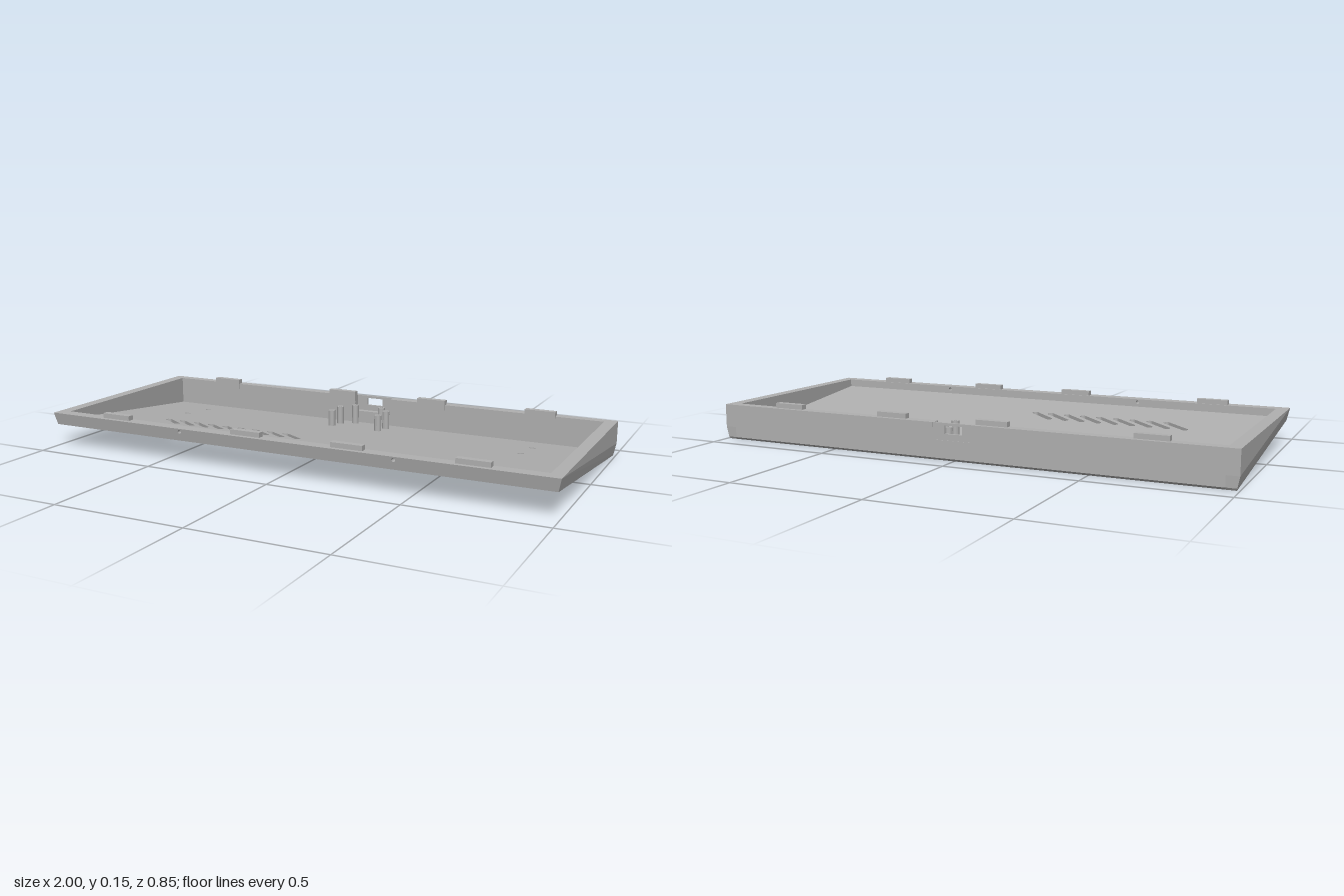
import * as THREE from 'three';
import { ConvexGeometry } from 'three/addons/geometries/ConvexGeometry.js';

const TOP = 0.137, IN_X = 0.955, BACK = -0.385, FRONT = 0.378;
const underside = (z) => 0.046 + 0.106 * z; // sloping base plane

function polygon(points, Type = THREE.Shape) {
  return new Type(points.map(([x, y]) => new THREE.Vector2(x, y)));
}
const rect = (x0, y0, x1, y1, Type) => polygon([[x0, y0], [x1, y0], [x1, y1], [x0, y1]], Type);

function circle(x, y, r) {
  return new THREE.Path().absarc(x, y, r, 0, Math.PI * 2, true);
}

// Round-ended slot running diagonally across the floor
function slot(x, z) {
  const a = Math.atan2(0.08, 0.105), r = 0.012, half = 0.055;
  const dx = Math.cos(a) * half, dz = Math.sin(a) * half;
  const p = new THREE.Path();
  p.absarc(x + dx, z + dz, r, a - Math.PI / 2, a + Math.PI / 2, false);
  p.absarc(x - dx, z - dz, r, a + Math.PI / 2, a + Math.PI * 1.5, false);
  p.closePath();
  return p;
}

// Move every vertex by a rule
function warp(geometry, rule) {
  const p = geometry.attributes.position, v = new THREE.Vector3();
  for (let i = 0; i < p.count; i++) {
    v.fromBufferAttribute(p, i);
    rule(v);
    p.setXYZ(i, v.x, v.y, v.z);
  }
  geometry.computeVertexNormals();
  return geometry;
}

// Flat plan (x, z) between two heights above the sloping underside
function floorLayer(shape, low, high) {
  const g = new THREE.ExtrudeGeometry(shape, { depth: high - low, bevelEnabled: false, curveSegments: 10 });
  g.rotateX(Math.PI / 2);
  return warp(g, (v) => { v.y += high + underside(v.z); });
}

export function createModel() {
  const group = new THREE.Group();
  const grey = new THREE.MeshStandardMaterial({ color: 0xb0b0b0 });
  grey.name = 'plainGrey';
  const add = (name, geometry) => {
    const mesh = new THREE.Mesh(geometry, grey);
    mesh.name = name;
    group.add(mesh);
    return mesh;
  };

  // Floor: upper skin with vents and screw holes, lower skin with recesses
  const vents = () => Array.from({ length: 9 }, (_, i) => slot(-0.633 + i * 0.0675, 0.15));
  const upper = rect(-IN_X, BACK, IN_X, FRONT);
  upper.holes.push(...vents());
  for (const x of [-0.725, 0.725]) for (const z of [-0.24, -0.085]) upper.holes.push(circle(x, z, 0.012));
  add('floor', floorLayer(upper, 0.012, 0.021));

  const lower = rect(-IN_X, BACK, IN_X, FRONT);
  lower.holes.push(...vents(), circle(-0.885, 0.313, 0.036), circle(0.885, 0.313, 0.036));
  lower.holes.push(polygon([
    [-0.92, -0.31], [0.92, -0.31], [0.92, -0.08], [0.89, -0.05], [-0.89, -0.05], [-0.92, -0.08],
  ], THREE.Path));
  add('underside', floorLayer(lower, 0, 0.012));

  // Rear foot pads inside the underside recess
  for (const x of [-0.88, 0.88]) {
    const pad = new THREE.Shape().absarc(x, -0.27, 0.036, 0, Math.PI * 2, false);
    add('footPad', floorLayer(pad, 0.008, 0.0125));
  }

  // Side walls: the lower triangle tucks inward slightly
  const profile = [
    [1, TOP, 0.425], [1, TOP, -0.422], [1, 0.05, -0.422], [0.992, 0.01, -0.42],
    [0.99, 0.002, -0.415], [0.99, 0.09, 0.415],
  ];
  for (const s of [-1, 1]) {
    const points = profile.flatMap(([x, y, z]) => [
      new THREE.Vector3(s * x, y, z), new THREE.Vector3(s * IN_X, y, z),
    ]);
    add(s > 0 ? 'leftWall' : 'rightWall', new ConvexGeometry(points));
  }

  // Front wall: leans outward, with two small screw holes
  const frontShape = rect(-IN_X, 0.09, IN_X, TOP);
  frontShape.holes.push(circle(-0.41, 0.125, 0.007), circle(0.44, 0.125, 0.007));
  add('frontWall', warp(
    new THREE.ExtrudeGeometry(frontShape, { depth: 1, bevelEnabled: false }),
    (v) => {
      const outer = THREE.MathUtils.mapLinear(v.y, 0.09, TOP, 0.415, 0.425);
      v.z = v.z > 0.5 ? outer : FRONT;
      if (v.y < 0.0901) v.y = underside(v.z);
    },
  ));

  // Back wall: notched for the connector, small chamfer along the bottom
  const backShape = polygon([
    [-IN_X, 0.002], [IN_X, 0.002], [IN_X, 0.01], [IN_X, TOP], [0.08, TOP],
    [0.08, 0.075], [-0.08, 0.075], [-0.08, TOP], [-IN_X, TOP], [-IN_X, 0.01],
  ]);
  add('backWall', warp(
    new THREE.ExtrudeGeometry(backShape, { depth: 1, bevelEnabled: false }),
    (v) => {
      v.z = v.z > 0.5 ? BACK : (v.y < 0.005 ? -0.415 : -0.422);
      if (v.y < 0.005) v.y = underside(v.z);
    },
  ));

  // Thin connector plate with its opening
  const plate = rect(-0.08, 0.075, 0.08, TOP);
  plate.holes.push(rect(-0.035, 0.098, 0.035, 0.128, THREE.Path));
  add('connectorPlate', new THREE.ExtrudeGeometry(plate, { depth: 0.01, bevelEnabled: false }))
    .position.z = -0.42;

  // Locating tabs along both long rims
  for (const x of [-0.71, -0.14, 0.26, 0.71]) {
    for (const z of [-0.393, 0.395]) {
      add('rimTab', new THREE.BoxGeometry(0.12, 0.04, 0.025)).position.set(x, 0.135, z);
    }
  }

  // Hollow circuit board posts
  for (const [x, z] of [[-0.06, -0.345], [0.058, -0.345], [-0.105, -0.295], [0.1, -0.295], [-0.105, -0.215], [0.1, -0.215]]) {
    const base = underside(z) + 0.015, top = 0.108;
    const ring = [[0.006, base], [0.014, base], [0.014, top], [0.006, top], [0.006, base]];
    add('boardPost', new THREE.LatheGeometry(ring.map(([r, y]) => new THREE.Vector2(r, y)), 16).toNonIndexed())
      .position.set(x, 0, z);
    group.children.at(-1).geometry.computeVertexNormals();
  }

  return group;
}
